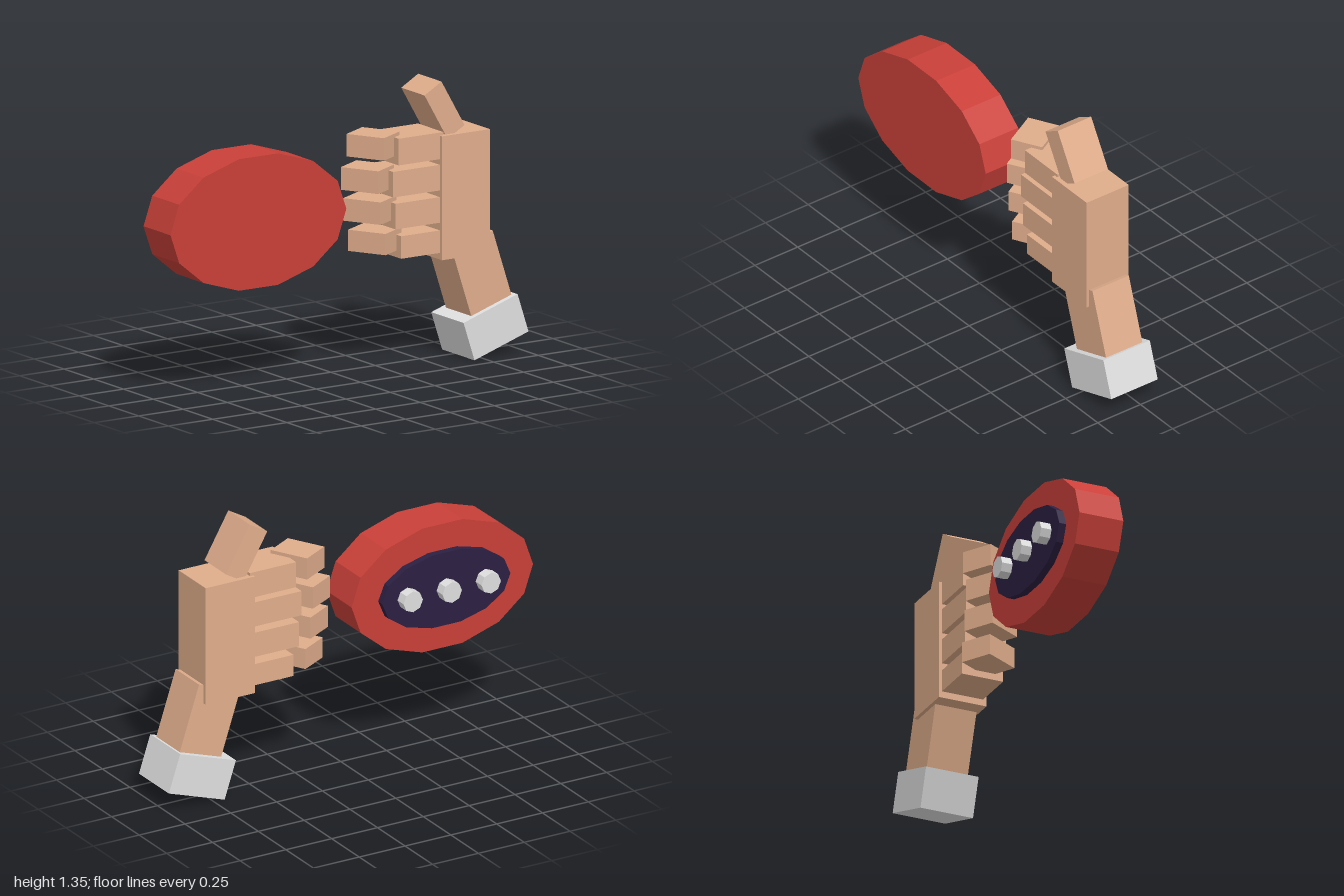
import * as THREE from 'three';

const mat = (name, color) => {
  const m = new THREE.MeshStandardMaterial({ color, flatShading: true });
  m.name = name;
  return m;
};

export function createModel() {
  const model = new THREE.Group();
  model.name = 'handAndDisc';
  const skin = mat('skin', 0xe0ad8b);
  const grey = mat('lightGrey', 0xdfdfdf);
  const red = mat('red', 0xca4039);
  const dark = mat('darkViolet', 0x2c2042);

  const add = (parent, name, geometry, material, x, y, z) => {
    const mesh = new THREE.Mesh(geometry, material);
    mesh.name = name;
    mesh.position.set(x, y, z);
    parent.add(mesh);
    return mesh;
  };
  const box = (parent, name, material, [w, h, d], [x, y, z]) =>
    add(parent, name, new THREE.BoxGeometry(w, h, d), material, x, y, z);

  // Elliptical prism lying along z, with a corner on the x axis
  const prism = (parent, name, material, rx, ry, sides, x, y, z0, z1) => {
    const g = new THREE.CylinderGeometry(1, 1, z1 - z0, sides);
    g.rotateY(Math.PI / 2).rotateX(Math.PI / 2).scale(rx, ry, 1);
    return add(parent, name, g, material, x, y, (z0 + z1) / 2);
  };

  // Disc with a dark back plate and three studs
  const disc = new THREE.Group();
  disc.name = 'disc';
  model.add(disc);
  prism(disc, 'discBody', red, 0.495, 0.324, 14, -0.505, 0.819, -0.082, 0.145);
  prism(disc, 'backPlate', dark, 0.35, 0.19, 14, -0.505, 0.818, -0.118, -0.07);
  for (const x of [-0.718, -0.505, -0.292])
    prism(disc, 'stud', grey, 0.053, 0.053, 8, x, 0.818, -0.172, -0.11);

  // Palm, forearm, cuff and thumb
  const hand = new THREE.Group();
  hand.name = 'hand';
  model.add(hand);
  box(hand, 'palm', skin, [0.27, 0.595, 0.246], [0.655, 0.8025, 0.034]);
  const tilt = 0.317;
  box(hand, 'forearm', skin, [0.238, 0.4, 0.213], [0.765, 0.38, 0.036]).rotation.z = tilt;
  box(hand, 'cuff', grey, [0.32, 0.197, 0.272], [0.816, 0.148, 0.034]).rotation.z = tilt;
  box(hand, 'thumb', skin, [0.11, 0.26, 0.196], [0.551, 1.217, 0.035]).rotation.z = Math.PI / 6;

  // Fingers: inner segment left end, its y range, then tip centre x and y range
  const fingers = [
    [0.288, 0.987, 1.115, 0.219, 1.024, 1.132],
    [0.257, 0.837, 0.96, 0.187, 0.868, 0.977],
    [0.271, 0.682, 0.805, 0.2, 0.718, 0.826],
    [0.302, 0.537, 0.645, 0.228, 0.569, 0.671],
  ];
  for (const [x0, y0, y1, tipX, t0, t1] of fingers) {
    const finger = new THREE.Group();
    finger.name = 'finger';
    hand.add(finger);
    box(finger, 'fingerBase', skin, [0.54 - x0, y1 - y0, 0.213],
      [(0.54 + x0) / 2, (y0 + y1) / 2, 0.033]);
    box(finger, 'fingerTip', skin, [0.16, t1 - t0, 0.197],
      [tipX, (t0 + t1) / 2, 0.028]).rotation.y = 0.503;
  }
  return model;
}
